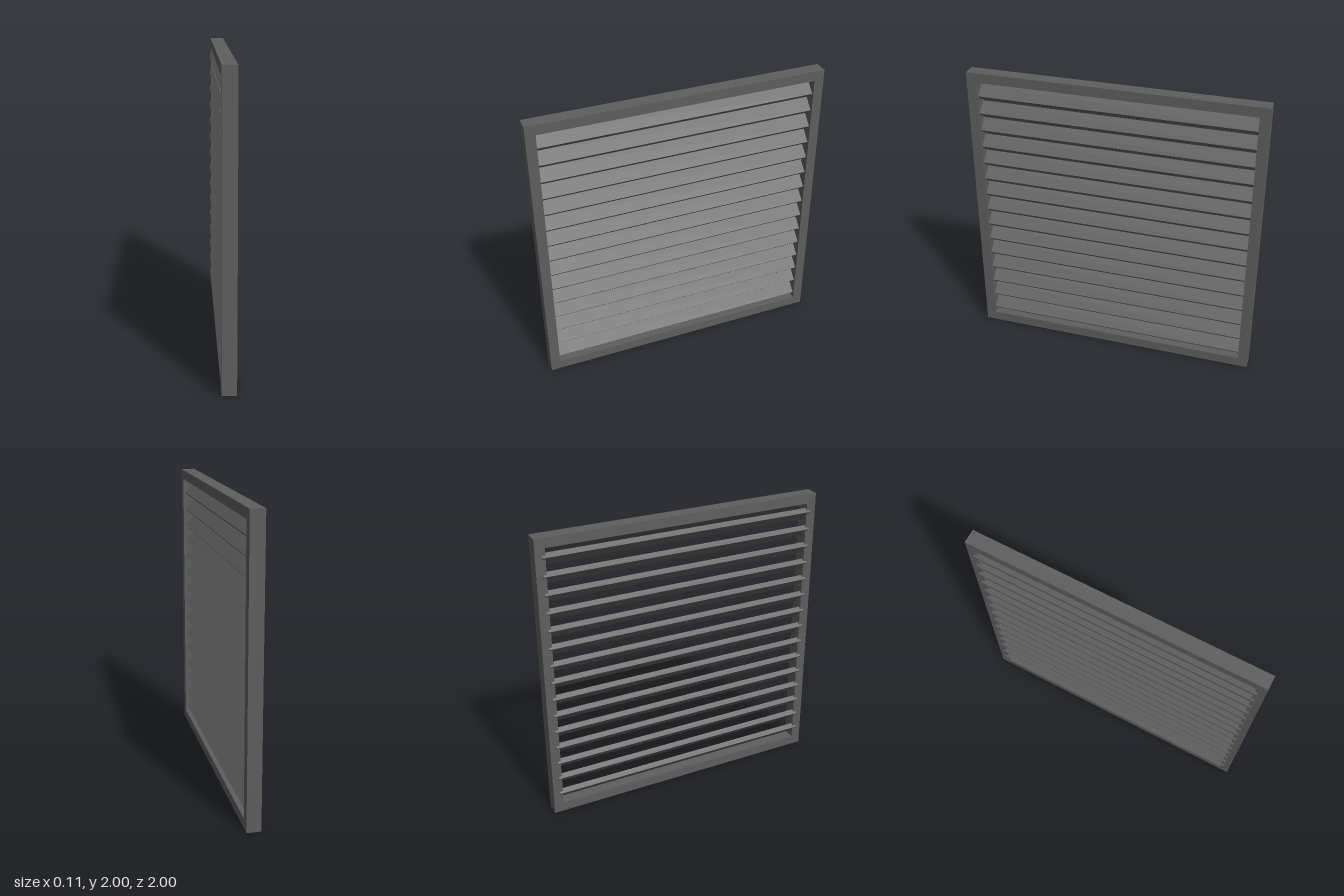
import * as THREE from 'three';

export function createModel() {
  const model = new THREE.Group();
  const darkGrey = new THREE.MeshStandardMaterial({ color: 0x5e5e5e });
  darkGrey.name = 'dark grey';

  // Square frame: an outline with a square opening, extruded along x
  const square = (Type, half) => new Type([
    new THREE.Vector2(-half, -half), new THREE.Vector2(half, -half),
    new THREE.Vector2(half, half), new THREE.Vector2(-half, half),
  ]);
  const outline = square(THREE.Shape, 1);
  outline.holes.push(square(THREE.Path, 0.933));
  const frameDepth = 0.095;
  const frameGeometry = new THREE.ExtrudeGeometry(outline, { depth: frameDepth, bevelEnabled: false });
  frameGeometry.translate(0, 0, -frameDepth / 2).rotateY(Math.PI / 2);
  const frame = new THREE.Mesh(frameGeometry, darkGrey);
  frame.name = 'frame';
  frame.position.set(0.0055, 1, 0);
  model.add(frame);

  // Louvre slats: tilted 45 degrees, high edge towards -x, ends set into the frame
  const slats = new THREE.Group();
  slats.name = 'slats';
  const slatGeometry = new THREE.BoxGeometry(0.096, 0.036, 1.91);
  const count = 15, pitch = 0.123;
  for (let i = 0; i < count; i++) {
    const slat = new THREE.Mesh(slatGeometry, darkGrey);
    slat.name = `slat${i + 1}`;
    slat.position.set(-0.0065, 0.131 + i * pitch, 0);
    slat.rotation.z = -Math.PI / 4;
    slats.add(slat);
  }
  model.add(slats);

  return model;
}
